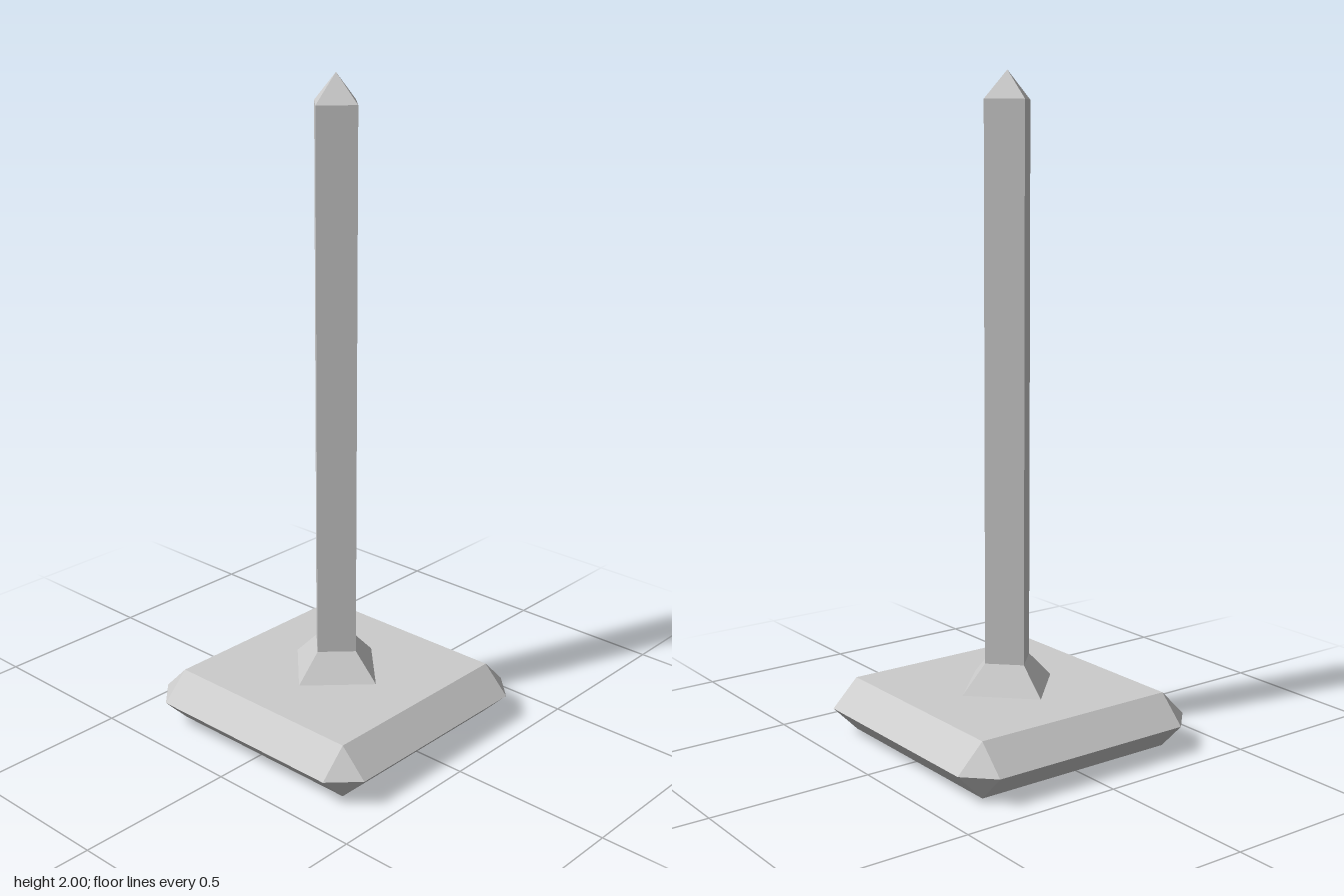
import * as THREE from 'three';
import { ConvexGeometry } from 'three/addons/geometries/ConvexGeometry.js';

export function createModel() {
  const model = new THREE.Group();
  model.name = 'postOnBase';
  const grey = new THREE.MeshStandardMaterial({ color: 0xcccccc, flatShading: true });
  grey.name = 'light grey';

  const add = (name, geometry, y = 0) => {
    const mesh = new THREE.Mesh(geometry, grey);
    mesh.name = name;
    mesh.position.y = y;
    model.add(mesh);
  };

  const b = 1 / 12; // bevel size
  const h = 4 * b; // half width of the flat faces

  // Square slab bevelled to an edge at mid-height, with clipped corners
  const points = [];
  for (const x of [-1, 1]) {
    for (const z of [-1, 1]) {
      points.push(
        new THREE.Vector3(x * h, 0, z * h),
        new THREE.Vector3(x * h, 2 * b, z * h),
        new THREE.Vector3(x * (h + b), b, z * h),
        new THREE.Vector3(x * h, b, z * (h + b))
      );
    }
  }
  add('base', new ConvexGeometry(points));

  // Four-sided parts with their corners on the x and z axes
  const foursided = (top, bottom, height) =>
    new THREE.CylinderGeometry(top, bottom, height, 4, 1, true);
  add('collar', foursided(b, 2 * b, b), 2.5 * b);
  add('post', foursided(b, b, 20 * b), 13 * b);
  add('tip', new THREE.ConeGeometry(b, b, 4, 1, true), 23.5 * b);

  return model;
}
